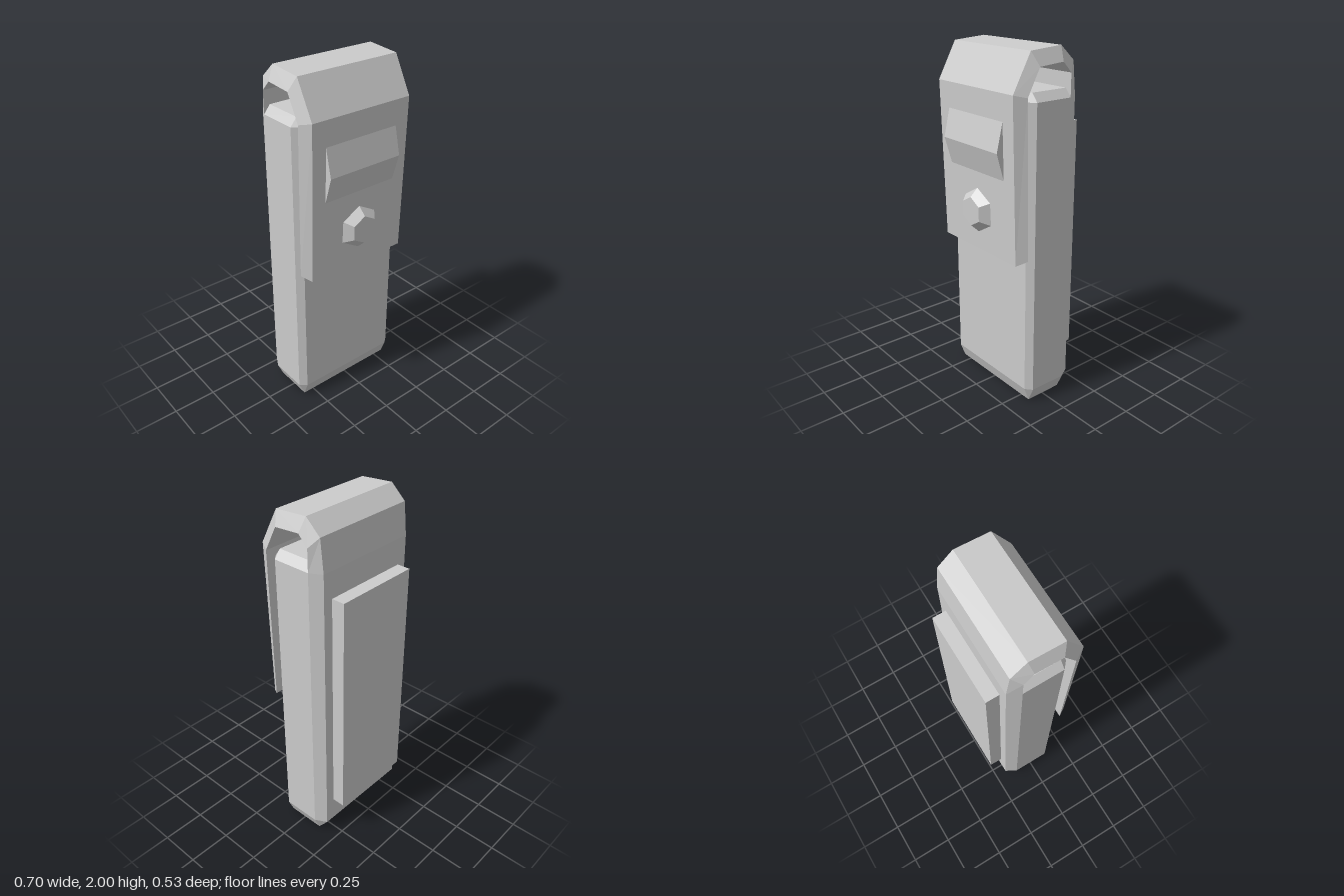
import * as THREE from 'three';

const material = new THREE.MeshStandardMaterial({ color: 0xcccccc, flatShading: true });

function part(name, geometry, x = 0, y = 0, z = 0) {
  const mesh = new THREE.Mesh(geometry, material);
  mesh.name = name;
  mesh.position.set(x, y, z);
  return mesh;
}

// Joins equal-length rings of [x, y, z] into a closed faceted solid.
// Rings run counter-clockwise seen from the end of the path.
function loft(rings) {
  const positions = [];
  const same = (p, q) => p.every((v, k) => v === q[k]);
  const tri = (a, b, c) => {
    if (!same(a, b) && !same(b, c) && !same(c, a)) positions.push(...a, ...b, ...c);
  };
  const n = rings[0].length;
  for (let i = 0; i < rings.length - 1; i++) {
    for (let j = 0; j < n; j++) {
      const k = (j + 1) % n;
      const a = rings[i][j], b = rings[i][k], c = rings[i + 1][k], d = rings[i + 1][j];
      tri(a, b, c);
      tri(a, c, d);
    }
  }
  const first = rings[0], last = rings[rings.length - 1];
  for (let j = 1; j < n - 1; j++) {
    tri(first[0], first[j + 1], first[j]);
    tri(last[0], last[j], last[j + 1]);
  }
  const geometry = new THREE.BufferGeometry();
  geometry.setAttribute('position', new THREE.Float32BufferAttribute(positions, 3));
  geometry.computeVertexNormals();
  return geometry;
}

const INNER = 0.315, OUTER = 0.352; // half widths of the faces and of the bevelled sides

// Horizontal section of the body: side half width, face half width, face depths.
function bodyRing(y, side, front, back) {
  return [
    [side, y, 0.105], [side, y, -0.12], [INNER, y, back], [-INNER, y, back],
    [-side, y, -0.12], [-side, y, 0.105], [-INNER, y, front], [INNER, y, front],
  ];
}

export function createModel() {
  const model = new THREE.Group();
  model.name = 'clipDevice';

  // Bevelled main body
  model.add(part('body', loft([
    bodyRing(0, INNER, 0.105, -0.12),
    bodyRing(0.085, OUTER, 0.137, -0.187),
    bodyRing(1.74, OUTER, 0.137, -0.187),
    bodyRing(1.785, INNER, 0.105, -0.12),
  ])));

  // Strap rising from the back and folding over the front: [outer z, y, inner z, y]
  const strapPath = [
    [-0.187, 1.74, -0.12, 1.74],
    [-0.168, 1.92, -0.12, 1.865],
    [-0.08, 2.0, -0.065, 1.923],
    [0.118, 1.986, 0.09, 1.912],
    [0.229, 1.785, 0.166, 1.77],
    [0.208, 0.88, 0.154, 0.905],
  ];
  model.add(part('strap', loft(strapPath.map(([oz, oy, iz, iy]) => [
    [OUTER, iy, iz], [INNER, oy, oz], [-INNER, oy, oz], [-OUTER, iy, iz],
  ]))));

  // Wedge-shaped grip on the strap
  const w = 0.231;
  model.add(part('grip', loft([
    [1.325, 0.216], [1.485, 0.263], [1.645, 0.225],
  ].map(([y, z]) => [[w, y, z], [w, y, 0.2], [-w, y, 0.2], [-w, y, z]]))));

  // Six-sided stud below the grip
  const stud = new THREE.CylinderGeometry(0.082, 0.131, 0.053, 6).rotateX(Math.PI / 2);
  model.add(part('stud', stud, 0, 1.115, 0.2365));

  // Raised plate on the back
  model.add(part('backPlate', new THREE.BoxGeometry(0.516, 1.355, 0.085), 0, 0.9125, -0.2215));

  return model;
}
